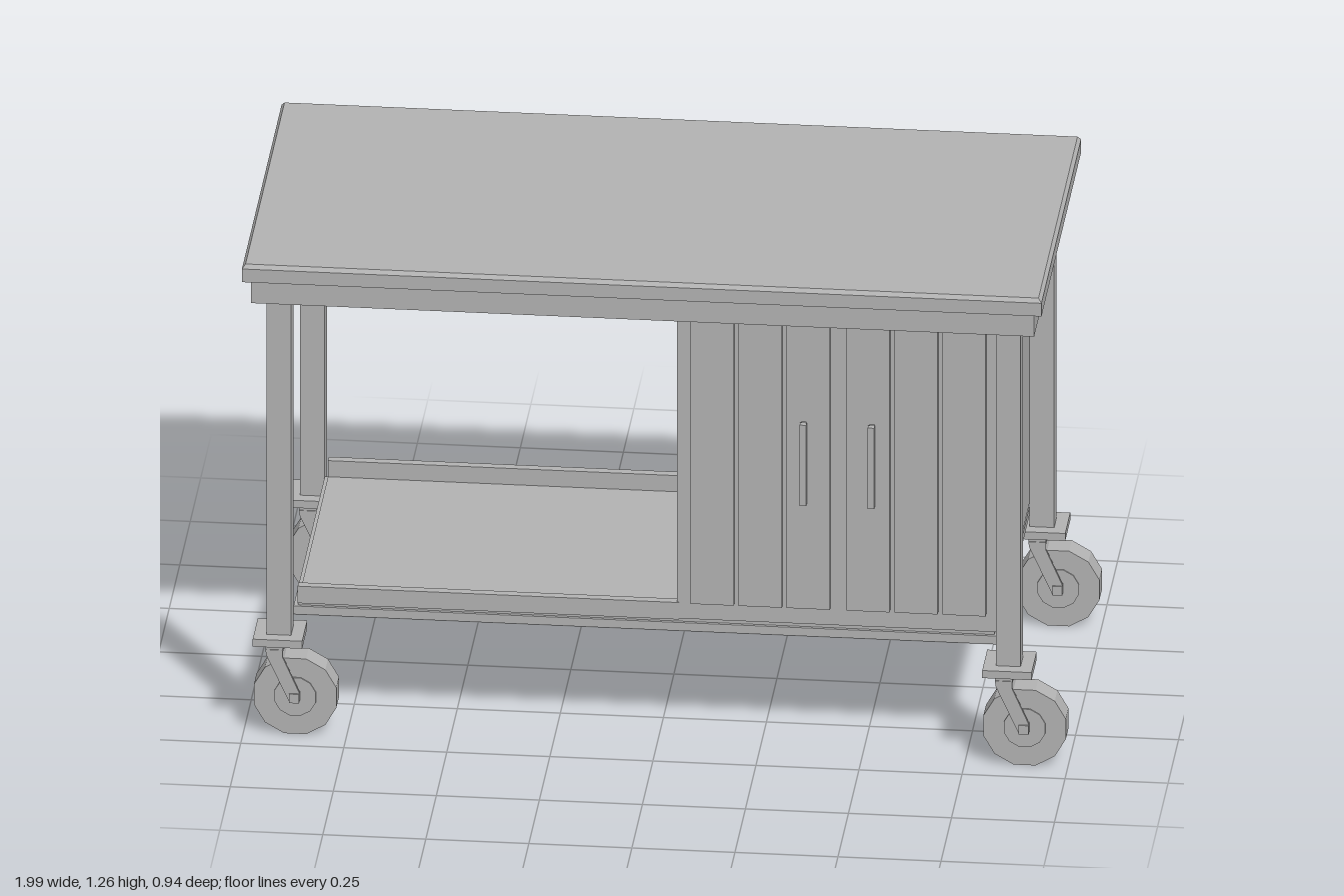
import * as THREE from 'three';

export function createModel() {
  const model = new THREE.Group();
  const steel = new THREE.MeshStandardMaterial({ color: 0xb3b3b3 });
  steel.name = 'steel grey';

  const add = (name, geometry, parent = model) => {
    const mesh = new THREE.Mesh(geometry, steel);
    mesh.name = name;
    parent.add(mesh);
    return mesh;
  };
  // Box given by its extents on each axis
  const box = (name, [x0, x1], [y0, y1], [z0, z1], parent) => {
    const g = new THREE.BoxGeometry(x1 - x0, y1 - y0, z1 - z0);
    g.translate((x0 + x1) / 2, (y0 + y1) / 2, (z0 + z1) / 2);
    return add(name, g, parent);
  };

  // Worktop with a chamfered upper edge, above a narrower apron
  box('worktop', [-1, 0.94], [1.215, 1.25], [-0.472, 0.472]);
  const chamfer = new THREE.BoxGeometry(1.94, 0.01, 0.944);
  const p = chamfer.attributes.position;
  for (let i = 0; i < p.count; i++) {
    if (p.getY(i) > 0) {
      p.setX(i, p.getX(i) - Math.sign(p.getX(i)) * 0.008);
      p.setZ(i, p.getZ(i) - Math.sign(p.getZ(i)) * 0.008);
    }
  }
  chamfer.computeVertexNormals();
  chamfer.translate(-0.03, 1.255, 0);
  add('worktopChamfer', chamfer);
  box('apron', [-0.98, 0.92], [1.15, 1.215], [-0.45, 0.45]);

  // Lower shelf: slab, recessed joint, floor and two long lips
  box('shelfSlab', [-0.885, 0.825], [0.29, 0.312], [-0.372, 0.372]);
  box('shelfFloor', [-0.875, 0.815], [0.312, 0.322], [-0.364, 0.364]);
  for (const s of [-1, 1]) {
    const z = [s * 0.372, s * 0.35].sort((a, b) => a - b);
    box('shelfLip', [-0.875, 0.05], [0.32, 0.365], z);
  }

  // Cabinet with two slatted doors and bar handles
  box('cabinet', [0.045, 0.825], [0.322, 1.15], [-0.37, 0.37]);
  for (const start of [0.08, 0.458]) {
    for (let i = 0; i < 3; i++) {
      const x = start + i * 0.1165;
      box('doorSlat', [x, x + 0.105], [0.37, 1.149], [0.37, 0.387]);
    }
  }
  for (const x of [0.355, 0.52]) {
    box('doorHandle', [x - 0.008, x + 0.008], [0.655, 0.87], [0.397, 0.412]);
    for (const y of [0.665, 0.86]) {
      box('handleMount', [x - 0.006, x + 0.006], [y - 0.008, y + 0.008], [0.386, 0.398]);
    }
  }

  // Caster fork cheek, trailing towards the axle
  const cheek = new THREE.Shape([
    [-0.03, 0.23], [-0.028, 0.215], [0.028, 0.092], [0.052, 0.092],
    [0.052, 0.118], [0.012, 0.21], [0.012, 0.23],
  ].map(([x, y]) => new THREE.Vector2(x, y)));
  const cheekGeometry = new THREE.ExtrudeGeometry(cheek, { depth: 0.008, bevelEnabled: false });

  // Twelve-sided wheel with a flat at the bottom
  const disc = (r, width, sides) => new THREE.CylinderGeometry(r, r, width, sides)
    .rotateY(Math.PI / sides).rotateX(Math.PI / 2).toNonIndexed();
  const wheelGeometry = disc(0.1035, 0.063, 12);
  const hubGeometry = disc(0.052, 0.07, 12);
  wheelGeometry.computeVertexNormals();
  hubGeometry.computeVertexNormals();

  // Four legs, each on a caster
  for (const x of [-0.915, 0.855]) {
    for (const z of [-0.4, 0.4]) {
      box('leg', [x - 0.03, x + 0.03], [0.26, 1.15], [z - 0.029, z + 0.029]);

      const caster = new THREE.Group();
      caster.name = 'caster';
      caster.position.set(x, 0, z);
      model.add(caster);
      box('mountingPlate', [-0.06, 0.06], [0.24, 0.26], [-0.06, 0.06], caster);
      box('forkCrown', [-0.03, 0.012], [0.222, 0.24], [-0.05, 0.05], caster);
      for (const side of [-0.052, 0.044]) {
        add('forkCheek', cheekGeometry, caster).position.z = side;
      }
      add('wheel', wheelGeometry, caster).position.set(0.04, 0.1, 0);
      add('hub', hubGeometry, caster).position.set(0.04, 0.1, 0);
      box('axle', [0.028, 0.052], [0.092, 0.116], [-0.056, 0.056], caster);
    }
  }
  return model;
}
